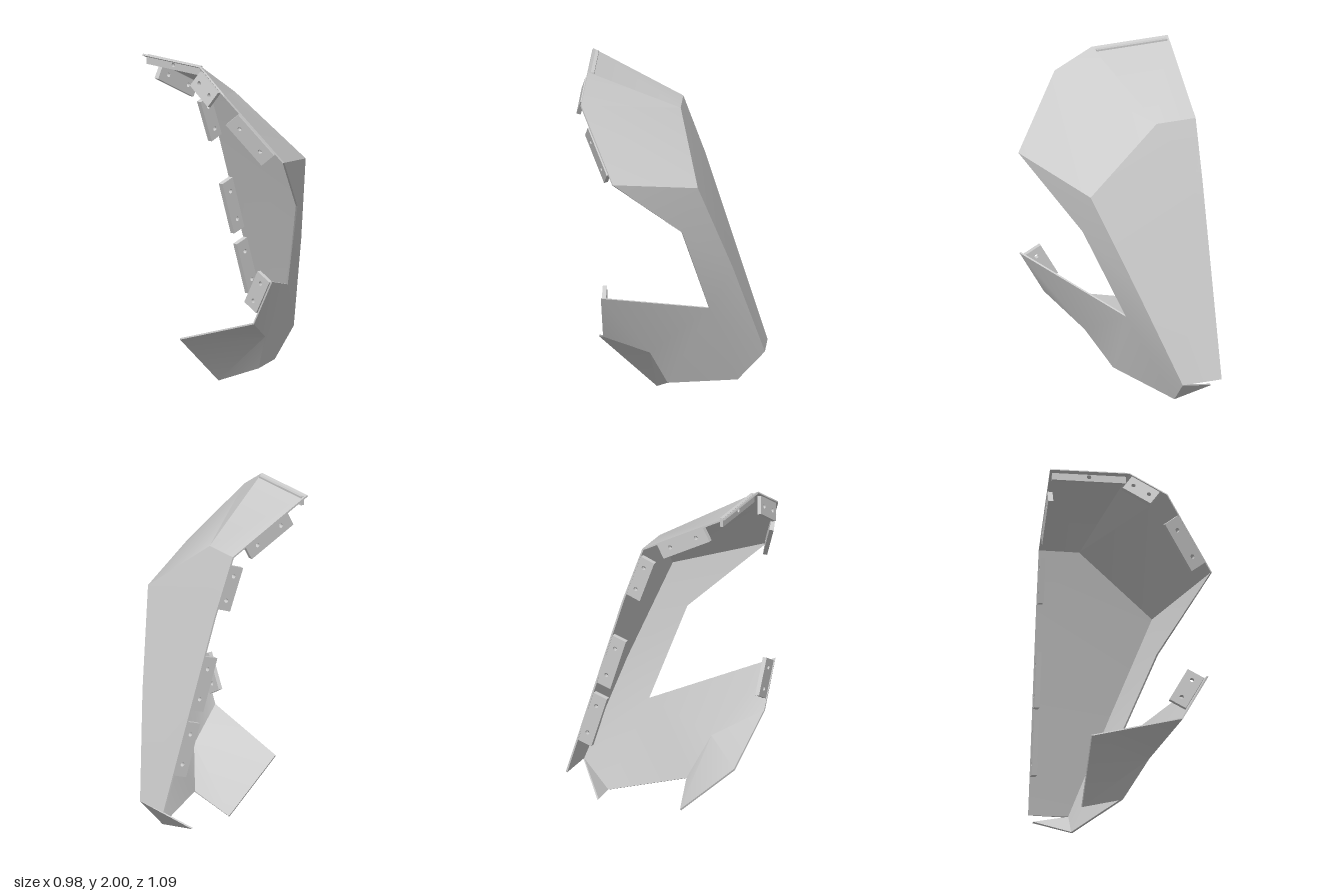
import * as THREE from 'three';
import { toCreasedNormals } from 'three/addons/utils/BufferGeometryUtils.js';

const material = new THREE.MeshStandardMaterial({ color: 0xcccccc, side: THREE.DoubleSide });

// Corner points of the faceted half shell
const P = {
  roofFrontMid: [-0.49, 2.0, 0.49], roofFront: [-0.02, 2.0, 0.49],
  brow: [0.2, 1.865, 0.515], temple: [0.49, 1.47, 0.31],
  roofBackMid: [-0.49, 1.72, -0.04], roofBack: [-0.25, 1.72, -0.04],
  side: [0.2, 1.37, -0.17], spineMid: [-0.49, 1.37, -0.17],
  cheek: [0.22, 1.1, -0.08], dent: [-0.02, 0.82, -0.36], notch: [0, 0.57, -0.225],
  napeMid: [-0.49, 0.23, -0.535], nape: [-0.25, 0.23, -0.535],
  neck: [-0.25, 0.055, -0.375], neckMid: [-0.49, 0.085, -0.33],
  jawLow: [0, 0.105, 0.02], jawBend: [0.145, 0.335, 0.115],
  jawFront: [0.31, 0.48, 0.38], jawTop: [0.46, 0.76, 0.38],
  chinTip: [-0.235, 0.31, 0.44], chinLow: [-0.25, 0.005, 0.1],
};

// Panels as fans of corner names
const PANELS = [
  'roofFrontMid roofFront roofBack roofBackMid', 'roofBack roofFront brow',
  'roofBack brow side', 'side brow temple', 'side temple cheek',
  'spineMid roofBackMid roofBack side', 'spineMid side dent', 'spineMid dent nape napeMid',
  'dent side cheek', 'dent cheek notch', 'notch nape dent', 'notch neck nape',
  'notch jawLow neck', 'nape neck neckMid',
  'jawBend jawTop notch jawLow', 'jawBend jawFront jawTop',
  'jawBend chinTip jawFront', 'jawBend chinLow chinTip', 'jawBend jawLow chinLow',
].map((s) => s.split(' '));

const v3 = (a) => new THREE.Vector3(...a);

// Thin solid shell: outer panels, inset copy and closing rim
function shellGeometry(thickness) {
  const names = Object.keys(P);
  const outer = names.map((n) => v3(P[n]));
  const normals = names.map(() => new THREE.Vector3());
  const inside = new THREE.Vector3(-0.45, 0.9, 0.1);
  const faces = [];
  for (const panel of PANELS) {
    const ids = panel.map((n) => names.indexOf(n));
    for (let i = 1; i < ids.length - 1; i++) {
      const f = [ids[0], ids[i], ids[i + 1]];
      const [a, b, c] = f.map((k) => outer[k]);
      const n = b.clone().sub(a).cross(c.clone().sub(a)).normalize();
      if (n.dot(a.clone().sub(inside)) < 0) { f.reverse(); n.negate(); }
      f.forEach((k) => normals[k].add(n));
      faces.push(f);
    }
  }
  const N = names.length;
  const inner = outer.map((p, i) => p.clone().addScaledVector(normals[i].normalize(), -thickness));
  const edges = new Set(faces.flatMap(([a, b, c]) => [`${a},${b}`, `${b},${c}`, `${c},${a}`]));
  const index = [];
  for (const [a, b, c] of faces) index.push(a, b, c, c + N, b + N, a + N);
  for (const e of edges) {
    const [a, b] = e.split(',').map(Number);
    if (!edges.has(`${b},${a}`)) index.push(b, a, a + N, b, a + N, b + N);
  }
  const geo = new THREE.BufferGeometry().setFromPoints([...outer, ...inner]);
  geo.setIndex(index);
  return toCreasedNormals(geo, 0.5);
}

// Flat plate with bolt holes spread along its length
function plateGeometry(length, width, depth, holes) {
  const l = length / 2, w = width / 2;
  const shape = new THREE.Shape([[-l, -w], [l, -w], [l, w], [-l, w]].map((p) => new THREE.Vector2(...p)));
  for (const t of holes) {
    const hole = new THREE.Path();
    hole.absarc(t * length, 0, 0.013, 0, Math.PI * 2, true);
    shape.holes.push(hole);
  }
  const geo = new THREE.ExtrudeGeometry(shape, { depth, bevelEnabled: false, curveSegments: 8 });
  return geo.translate(0, 0, -depth / 2);
}

// Plate lying along the edge a-b between t0 and t1, reaching inward
function edgeTab(name, a, b, t0, t1, inward, opt = {}) {
  const { width = 0.11, depth = 0.025, holes = [-0.28, 0.28], shift = [0, 0, 0] } = opt;
  const p = v3(a), q = v3(b);
  const u = q.clone().sub(p).normalize();
  const v = v3(inward);
  v.addScaledVector(u, -v.dot(u)).normalize();
  const mesh = new THREE.Mesh(plateGeometry(p.distanceTo(q) * (t1 - t0), width, depth, holes), material);
  mesh.name = name;
  mesh.quaternion.setFromRotationMatrix(new THREE.Matrix4().makeBasis(u, v, u.clone().cross(v)));
  mesh.position.lerpVectors(p, q, (t0 + t1) / 2).addScaledVector(v, width / 2).add(v3(shift));
  return mesh;
}

export function createModel() {
  const model = new THREE.Group();
  model.name = 'helmetHalf';

  const shell = new THREE.Mesh(shellGeometry(0.01), material);
  shell.name = 'shell';
  model.add(shell);

  // Joining flanges along the middle plane
  const mid = { width: 0.1, depth: 0.03, shift: [0.017, 0, 0] };
  const flanges = [
    ['roofFrontMid', 'roofBackMid', 0.27, 0.83, [0, -1, 0.3]],
    ['roofBackMid', 'spineMid', 0.14, 0.86, [0, 0, 1]],
    ['spineMid', 'napeMid', 0.2, 0.475, [0, 0, 1]],
    ['spineMid', 'napeMid', 0.535, 0.81, [0, 0, 1]],
  ];
  for (const [a, b, t0, t1, dir] of flanges) model.add(edgeTab('middleFlange', P[a], P[b], t0, t1, dir, mid));

  // Mounting tabs along the face opening
  model.add(
    edgeTab('roofTab', P.roofFrontMid, P.roofFront, 0.03, 0.96, [0, -1, 0],
      { width: 0.055, depth: 0.02, holes: [0], shift: [0, -0.007, -0.025] }),
    edgeTab('browTab', P.roofFront, P.brow, 0.12, 0.86, [-0.45, -0.85, 0.25], { shift: [-0.015, -0.015, 0] }),
    edgeTab('templeTab', P.brow, P.temple, 0.26, 0.86, [-0.75, -0.6, 0.2], { shift: [-0.01, -0.01, 0] }),
    edgeTab('jawTab', P.jawFront, P.jawTop, 0.18, 0.9, [-1, 0.3, 0], { shift: [-0.01, 0.02, -0.013] }),
  );
  return model;
}
